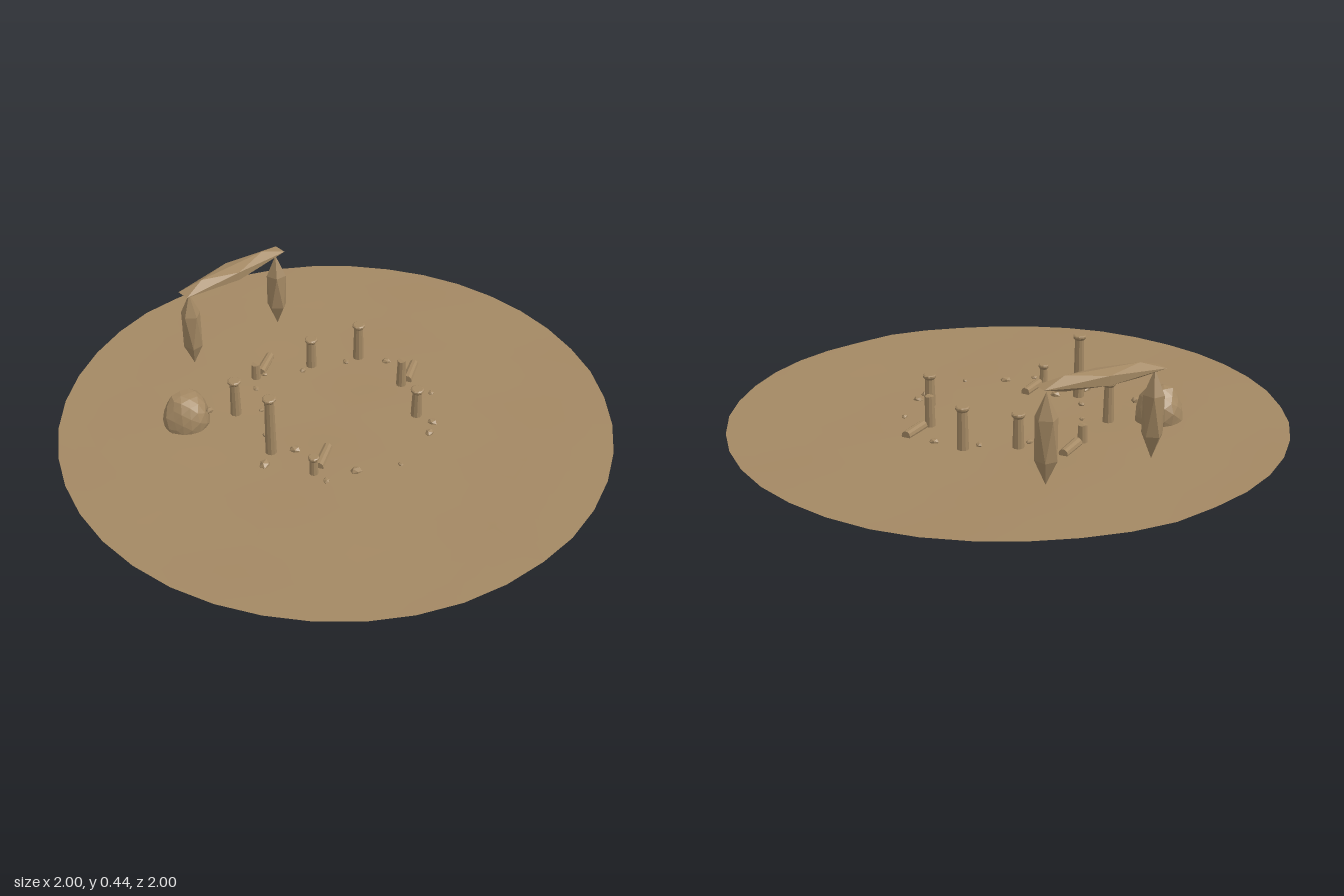
import * as THREE from 'three';

const sandstone = new THREE.MeshStandardMaterial({ color: 0xa38863, side: THREE.DoubleSide });
sandstone.name = 'sandstone';
const hewnStone = new THREE.MeshStandardMaterial({ color: 0xa38863, flatShading: true });
hewnStone.name = 'hewn sandstone';

export function createModel() {
  const model = new THREE.Group();
  model.name = 'desertRuins';

  const add = (name, geometry, x, y, z, material = hewnStone) => {
    const mesh = new THREE.Mesh(geometry, material);
    mesh.name = name;
    mesh.position.set(x, y, z);
    model.add(mesh);
    return mesh;
  };

  // Gently rolling sand disc
  const sand = new THREE.RingGeometry(0.0001, 1, 40, 14).rotateX(-Math.PI / 2);
  const sp = sand.attributes.position;
  for (let i = 0; i < sp.count; i++) {
    const x = sp.getX(i), z = sp.getZ(i);
    sp.setY(i, 0.087 + 0.006 * Math.hypot(x, z)
      + 0.003 * Math.sin(7 * x + 2 * z) * Math.cos(6 * z - 3 * x) + 0.0015 * Math.sin(15 * x - 11 * z));
  }
  sand.computeVertexNormals();
  add('sandGround', sand, 0, 0, 0, sandstone);

  // Uneven rock: a sphere of facets pushed in and out by a wave
  const rock = (rx, ry, rz, detail, seed) => {
    const g = new THREE.IcosahedronGeometry(1, detail);
    const p = g.attributes.position, v = new THREE.Vector3();
    for (let i = 0; i < p.count; i++) {
      v.fromBufferAttribute(p, i);
      const k = 1 + 0.05 * Math.sin(5 * v.x + seed) * Math.cos(4 * v.y - seed) + 0.03 * Math.sin(7 * v.z + 3 * v.y + seed);
      p.setXYZ(i, v.x * k * rx, v.y * k * ry, v.z * k * rz);
    }
    g.computeVertexNormals();
    return g;
  };
  add('boulder', rock(0.088, 0.108, 0.083, 2, 1), -0.435, 0.111, -0.32);
  add('boulderChip', rock(0.016, 0.012, 0.014, 0, 2), -0.378, 0.15, -0.255);

  // Gateway: two pointed standing stones carrying a lintel
  const spindle = new THREE.IcosahedronGeometry(1, 0)
    .rotateZ(-Math.atan(2 / (1 + Math.sqrt(5)))).scale(0.041, 0.157, 0.045);
  for (const side of [-1, 1]) {
    add(side > 0 ? 'leftGatePost' : 'rightGatePost', spindle, side * 0.205, 0.248, -0.59)
      .rotation.y = side * 0.3;
  }
  const lintel = new THREE.IcosahedronGeometry(1, 0).scale(0.272, 0.031, 0.05);
  add('gateLintel', lintel, 0, 0.417, -0.592).rotation.z = 0.025;

  // Columns with flared capitals: [x, z, top height]
  const base = 0.08;
  const columns = [
    [-0.31, 0.01, 0.33], [-0.27, -0.245, 0.237], [0.125, -0.285, 0.212],
    [0.295, -0.205, 0.242], [0.215, 0.2, 0.212], [-0.27, 0.195, 0.165, 0.8],
  ];
  for (const [x, z, top, s = 1] of columns) {
    const h = top - base;
    const profile = [[0, 0], [0.021, 0], [0.0175, h - 0.018], [0.0245, h - 0.009], [0.0245, h - 0.003], [0.02, h], [0, h]]
      .map(([r, y]) => new THREE.Vector2(r * s, y));
    add('column', new THREE.LatheGeometry(profile, 10), x, base, z);
  }

  // Broken stumps with a slanted fracture: [x, z, top height]
  for (const [x, z, top] of [[-0.085, -0.36, 0.155], [0.3, 0.03, 0.203]]) {
    const h = top - base;
    const g = new THREE.CylinderGeometry(0.016, 0.019, h, 10).translate(0, h / 2, 0);
    const p = g.attributes.position;
    for (let i = 0; i < p.count; i++) if (p.getY(i) > h / 2) p.setY(i, p.getY(i) - 0.2 * Math.abs(p.getX(i)));
    g.computeVertexNormals();
    add('brokenStump', g, x, base, z);
  }

  // Fallen drums lying half buried
  const drum = new THREE.CylinderGeometry(0.017, 0.019, 0.112, 10).rotateZ(-Math.PI / 2);
  for (const [x, z] of [[-0.012, -0.397], [0.375, 0.003], [-0.195, 0.157]]) {
    add('fallenDrum', drum, x, 0.096, z).rotation.y = 0.56;
  }

  // Scattered rubble: [x, z, radius]
  const rubble = [
    [0.075, -0.275, 0.014], [0.235, -0.21, 0.015], [0.355, -0.11, 0.019], [0.345, 0.145, 0.014],
    [0.23, 0.27, 0.02], [0.18, 0.305, 0.019], [-0.015, 0.36, 0.011], [-0.155, 0.285, 0.023],
    [-0.265, 0.255, 0.015], [-0.24, 0.06, 0.022], [-0.37, 0.05, 0.024], [-0.27, -0.07, 0.014],
    [-0.195, -0.19, 0.011], [-0.13, -0.305, 0.015], [-0.052, -0.352, 0.013],
  ];
  rubble.forEach(([x, z, r], i) => {
    add('rubble', rock(r, r * 0.65, r * 0.8, 0, i), x, 0.092, z).rotation.y = i * 1.3;
  });

  return model;
}
